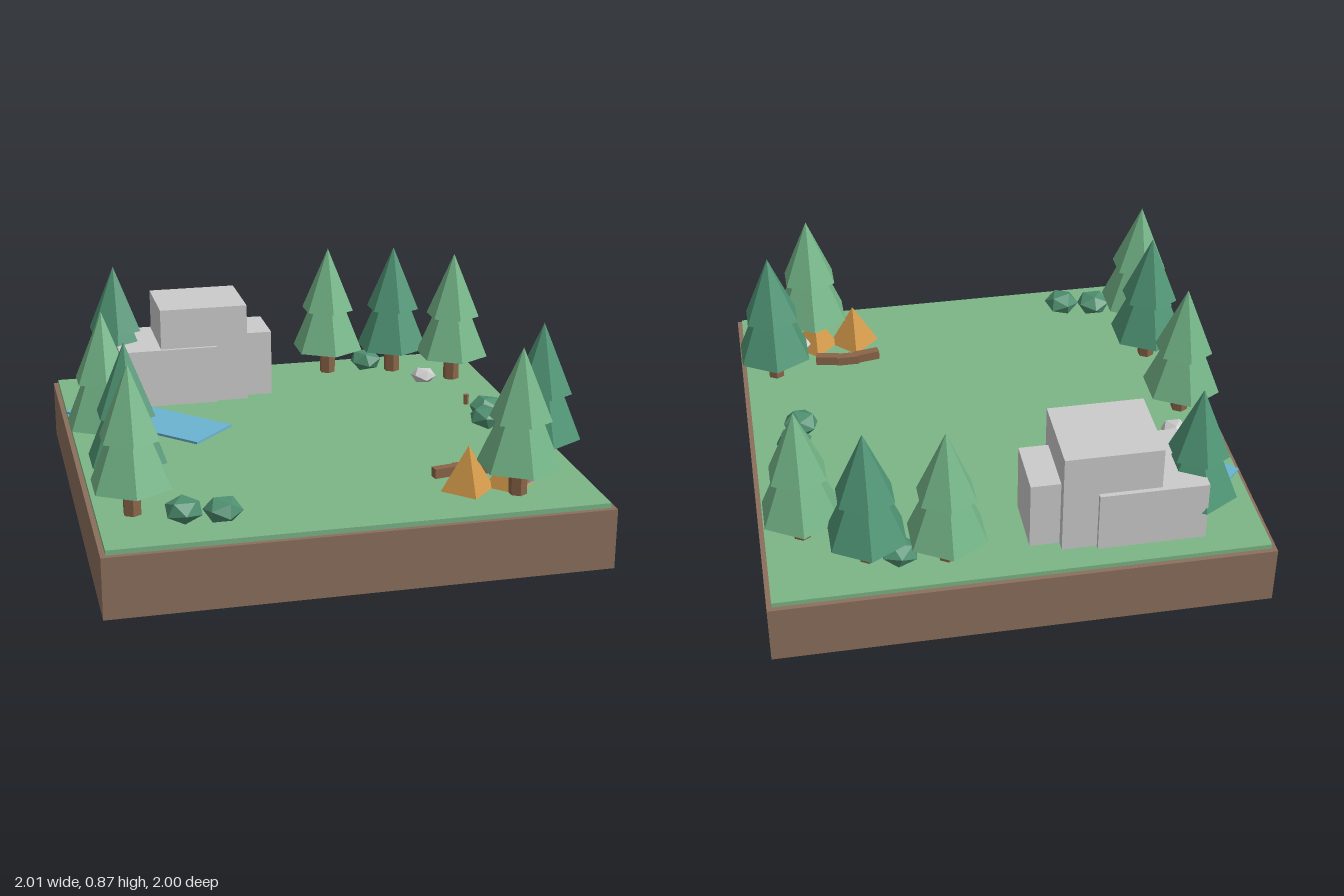
import * as THREE from 'three';

const mat = (color) => new THREE.MeshStandardMaterial({ color, flatShading: true });
const M = {
  dirt: mat(0x8b6f5c), grass: mat(0x7cb587), water: mat(0x6bb3d0), grey: mat(0xcccccc),
  light: mat(0x74b587), dark: mat(0x4f9575), bush: mat(0x4f8f70),
  wood: mat(0x8a6548), tent: mat(0xd39a4a),
};
const GROUND = 0.27;

export function createModel() {
  const group = new THREE.Group();

  const add = (parent, name, geometry, material, x, y, z) => {
    const mesh = new THREE.Mesh(geometry, material);
    mesh.name = name;
    mesh.position.set(x, y, z);
    parent.add(mesh);
    return mesh;
  };

  // Box given by its extents on each axis
  const block = (name, material, [x0, x1], [y0, y1], [z0, z1]) =>
    add(group, name, new THREE.BoxGeometry(x1 - x0, y1 - y0, z1 - z0), material,
      (x0 + x1) / 2, (y0 + y1) / 2, (z0 + z1) / 2);

  // Ground slab and grass layer
  block('soilBase', M.dirt, [-1, 1], [0, 0.25], [-1, 1]);
  block('grass', M.grass, [-0.98, 0.98], [0.25, GROUND], [-0.98, 0.98]);

  // Pond, turned 45 degrees
  add(group, 'pond', new THREE.BoxGeometry(0.715, 0.01, 0.255), M.water, -0.643, 0.275, -0.345)
    .rotation.y = -Math.PI / 4;

  // Cliff of three overlapping blocks
  block('cliffLow', M.grey, [-0.735, -0.3], [GROUND, 0.53], [-0.887, -0.515]);
  block('cliffTall', M.grey, [-0.55, -0.16], [GROUND, 0.71], [-0.868, -0.53]);
  block('cliffSide', M.grey, [-0.26, -0.04], [GROUND, 0.565], [-0.825, -0.575]);

  // Two-tier trees on six-sided trunks
  const trunk = new THREE.CylinderGeometry(0.037, 0.037, 0.14, 6);
  const lowerTier = new THREE.ConeGeometry(0.168, 0.4, 6);
  const upperTier = new THREE.ConeGeometry(0.124, 0.29, 6);
  const trees = [
    [-0.73, -0.73, M.dark], [-0.86, -0.035, M.light], [-0.82, 0.395, M.dark],
    [-0.84, 0.665, M.light], [0.285, -0.83, M.light], [0.59, -0.785, M.dark],
    [0.83, -0.605, M.light], [0.85, 0.515, M.dark], [0.66, 0.8, M.light],
  ];
  for (const [x, z, leaf] of trees) {
    const tree = new THREE.Group();
    tree.name = 'tree';
    tree.position.set(x, GROUND, z);
    add(tree, 'trunk', trunk, M.wood, 0, 0.07, 0);
    add(tree, 'lowerFoliage', lowerTier, leaf, 0, 0.32, 0);
    add(tree, 'upperFoliage', upperTier, leaf, 0, 0.455, 0);
    group.add(tree);
  }

  // Bushes and boulders: squashed faceted balls, each turned differently
  const lump = (name, material, r, height, x, z, turn) => {
    const ball = new THREE.IcosahedronGeometry(r, 0);
    ball.rotateX(0.55).rotateY(turn).scale(1, height / (2 * r), 1);
    add(group, name, ball, material, x, GROUND + height / 2 - 0.005, z);
  };
  [[-0.66, 0.78], [-0.515, 0.81], [0.815, -0.05], [0.777, 0.07], [0.47, -0.82]]
    .forEach(([x, z], i) => lump('bush', M.bush, 0.078, 0.105, x, z, i * 1.3));
  [[-0.785, -0.225], [0.685, -0.575], [0.73, 0.695]]
    .forEach(([x, z], i) => lump('boulder', M.grey, 0.06, 0.075, x, z, i * 1.1));

  // Four-sided tents
  for (const [x, z, r, h] of [[0.48, 0.72, 0.11, 0.185], [0.655, 0.715, 0.1, 0.17]]) {
    add(group, 'tent', new THREE.ConeGeometry(r, h, 4), M.tent, x, GROUND + h / 2, z);
  }

  // Low wooden barrier in three bent pieces
  for (const [x, z, turn] of [[0.434, 0.566, 0.17], [0.525, 0.551, 0], [0.616, 0.566, -0.17]]) {
    add(group, 'barrier', new THREE.BoxGeometry(0.1, 0.04, 0.037), M.wood, x, GROUND + 0.02, z)
      .rotation.y = turn;
  }

  // Small post in the clearing
  add(group, 'post', new THREE.CylinderGeometry(0.012, 0.012, 0.045, 6), M.wood, 0.785, GROUND + 0.0225, -0.235);

  return group;
}
